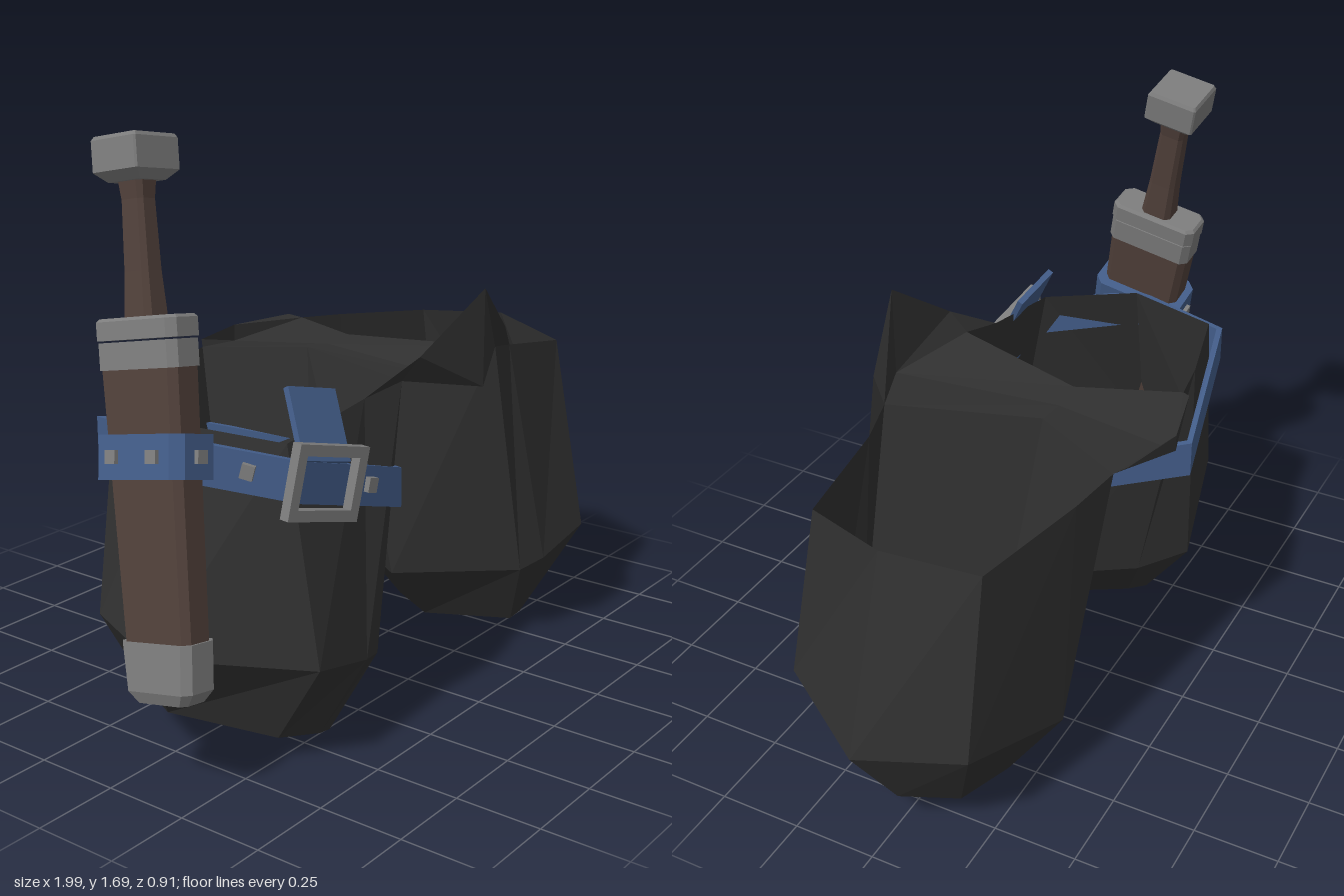
import * as THREE from 'three';

const mat = (color, side = THREE.FrontSide) =>
  new THREE.MeshStandardMaterial({ color, side, flatShading: true });
const cloth = mat(0x303030, THREE.DoubleSide);
const blue = mat(0x425c88, THREE.DoubleSide);
const brown = mat(0x50403a);
const metal = mat(0x7c7c7c);

// Skin between successive rows of points; closed joins row ends, caps fill first and last row
function loft(name, rows, material, { closed = true, caps = false } = {}) {
  const pos = [];
  const tri = (...pts) => pts.forEach((p) => pos.push(...p));
  const n = rows[0].length;
  for (let i = 0; i < rows.length - 1; i++) {
    for (let j = 0; j < (closed ? n : n - 1); j++) {
      const k = (j + 1) % n;
      const [a, b, c, d] = [rows[i][j], rows[i][k], rows[i + 1][k], rows[i + 1][j]];
      tri(a, b, c);
      tri(a, c, d);
    }
  }
  if (caps) {
    const lo = rows[0], hi = rows[rows.length - 1];
    for (let j = 1; j < n - 1; j++) {
      tri(lo[0], lo[j + 1], lo[j]);
      tri(hi[0], hi[j], hi[j + 1]);
    }
  }
  const geo = new THREE.BufferGeometry();
  geo.setAttribute('position', new THREE.Float32BufferAttribute(pos, 3));
  geo.computeVertexNormals();
  const mesh = new THREE.Mesh(geo, material);
  mesh.name = name;
  return mesh;
}

// Prism with chamfered corners; each section is [y, halfWidth, halfDepth]
function prism(name, sections, material, chamfer = 0.35) {
  const rows = sections.map(([y, w, d]) => {
    const c = Math.min(w, d) * chamfer;
    return [[w, d - c], [w, c - d], [w - c, -d], [c - w, -d], [-w, c - d], [-w, d - c], [c - w, d], [w - c, d]]
      .map(([x, z]) => [x, y, z]);
  });
  return loft(name, rows, material, { caps: true });
}

function box(name, w, h, d, material, position, rotation = [0, 0, 0]) {
  const mesh = new THREE.Mesh(new THREE.BoxGeometry(w, h, d), material);
  mesh.name = name;
  mesh.position.set(...position);
  mesh.rotation.set(...rotation);
  return mesh;
}

const MID = 0.0525; // symmetry line of the garment
const mirror = ([x, y, z]) => [2 * MID - x, y, z];

// Baggy open leg: hem, widest ring, waist rim
const legRows = [
  [[0.44, 0, 0.01], [0.53, 0.02, 0.28], [0.58, 0.03, 0.285], [0.73, 0.07, 0.26],
    [0.87, 0.12, -0.01], [0.78, 0.1, -0.16], [0.54, 0.02, -0.18], [0.5, 0.015, -0.13]],
  [[0.25, 0.2, 0.01], [0.43, 0.24, 0.37], [0.52, 0.26, 0.4], [0.74, 0.31, 0.41],
    [1.0, 0.34, 0.05], [0.88, 0.35, -0.245], [0.5, 0.24, -0.335], [0.37, 0.22, -0.22]],
  [[0.15, 0.98, -0.09], [0.29, 0.98, 0.345], [0.42, 0.955, 0.315], [0.73, 0.905, 0.3],
    [0.84, 0.935, 0.025], [0.79, 0.915, -0.25], [0.45, 0.95, -0.345], [0.29, 0.965, -0.375]],
];

// Saddle between the legs: crotch, then back lip
function makeHips() {
  const halves = [
    [[0.29, 0.98, 0.345], [MID, 0.93, 0.455]],
    [[0.15, 0.98, -0.09], [MID, 0.97, -0.09]],
    [[0.29, 0.965, -0.375], [MID, 0.925, -0.455]],
    [[0.26, 0.978, -0.405], [MID, 0.975, -0.455]],
  ];
  return loft('hips', halves.map(([e, c]) => [e, c, mirror(e)]), cloth, { closed: false });
}

// Pointed flap standing up at the front of the waist
function makeFrontPeak() {
  const span = (side, c) => [...side, c, ...side.map(mirror).reverse()];
  const corner = [0.42, 0.955, 0.315];
  return loft('frontPeak', [
    span([corner, [0.29, 0.98, 0.345]], [MID, 0.93, 0.455]),
    span([corner, [0.27, 1.05, 0.39]], [MID, 1.21, 0.455]),
  ], cloth, { closed: false });
}

// Slanted band round the right leg
const strapY = (x) => 0.65 - 0.29 * (x + 0.07);
function makeStrap() {
  const path = [[-0.062, -0.07], [-0.235, 0.382], [-0.64, 0.35], [-0.79, 0.04], [-0.715, -0.285], [-0.245, -0.387]];
  const h = 0.057;
  const rows = [...path, path[0]].map(([x, z]) => {
    const y = strapY(x);
    const ix = -0.43 + (x + 0.43) * 0.95, iz = z * 0.95;
    return [[x, y - h, z], [x, y + h, z], [ix, y + h, iz], [ix, y - h, iz]];
  });
  return loft('legStrap', rows, blue);
}

// Open rectangular frame
function makeBuckle() {
  const rect = (P, w, h) => {
    const p = new P();
    p.moveTo(-w, -h).lineTo(w, -h).lineTo(w, h).lineTo(-w, h).closePath();
    return p;
  };
  const shape = rect(THREE.Shape, 0.127, 0.1);
  shape.holes.push(rect(THREE.Path, 0.097, 0.07));
  const mesh = new THREE.Mesh(new THREE.ExtrudeGeometry(shape, { depth: 0.03, bevelEnabled: false }), metal);
  mesh.name = 'buckle';
  mesh.position.set(-0.55, 0.795, 0.352);
  mesh.rotation.set(0, -0.14, -0.25);
  return mesh;
}

// Sheathed blade, built upright from the tip
function makeKnife() {
  const g = new THREE.Group();
  g.name = 'sheathedKnife';
  g.add(
    prism('sheath', [[0.05, 0.05, 0.11], [0.86, 0.055, 0.132]], brown),
    prism('sheathTip', [[-0.012, 0.045, 0.085], [0.02, 0.06, 0.112], [0.145, 0.06, 0.12]], metal),
    prism('sheathThroat', [[0.835, 0.058, 0.137], [0.905, 0.058, 0.137]], metal),
    prism('guard', [[0.91, 0.06, 0.14], [0.958, 0.06, 0.14], [0.966, 0.052, 0.132]], metal),
    prism('grip', [[0.95, 0.044, 0.05], [1.08, 0.036, 0.042], [1.26, 0.032, 0.038], [1.33, 0.04, 0.045]], brown),
    prism('pommel', [[1.305, 0.05, 0.055], [1.33, 0.08, 0.078], [1.41, 0.08, 0.078], [1.42, 0.074, 0.072]], metal, 0.06),
  );
  // Loop holding the sheath, with studs front and back
  const loop = new THREE.Group();
  loop.name = 'sheathLoop';
  loop.position.y = 0.61;
  loop.rotation.z = -0.1;
  loop.add(prism('loopBand', [[-0.057, 0.08, 0.15], [0.057, 0.08, 0.15]], blue));
  for (const s of [1, -1]) {
    loop.add(box('loopStud', 0.035, 0.035, 0.025, metal, [0, 0, 0.15 * s]));
    loop.add(box('sideStud', 0.025, 0.035, 0.035, metal, [-0.08, 0, 0.07 * s]));
  }
  g.add(loop);
  g.position.set(-0.935, 0.285, 0.165);
  g.quaternion.setFromUnitVectors(new THREE.Vector3(0, 1, 0), new THREE.Vector3(0.159, 1, -0.2).normalize());
  return g;
}

export function createModel() {
  const model = new THREE.Group();
  model.name = 'legArmorWithKnife';
  model.add(
    loft('leftLeg', legRows, cloth),
    loft('rightLeg', legRows.map((r) => r.map(mirror).reverse()), cloth),
    makeHips(),
    makeFrontPeak(),
    makeStrap(),
    makeBuckle(),
    makeKnife(),
    // Free strap end standing up behind the buckle
    box('strapTail', 0.175, 0.2, 0.018, blue, [-0.515, 0.93, 0.312], [-0.5, 0, -0.27]),
    box('strapStud', 0.035, 0.04, 0.025, metal, [-0.37, 0.742, 0.375], [0, -0.08, -0.25]),
    box('strapStud', 0.035, 0.04, 0.025, metal, [-0.7, 0.838, 0.232], [0, -1.1, -0.25]),
  );
  return model;
}
